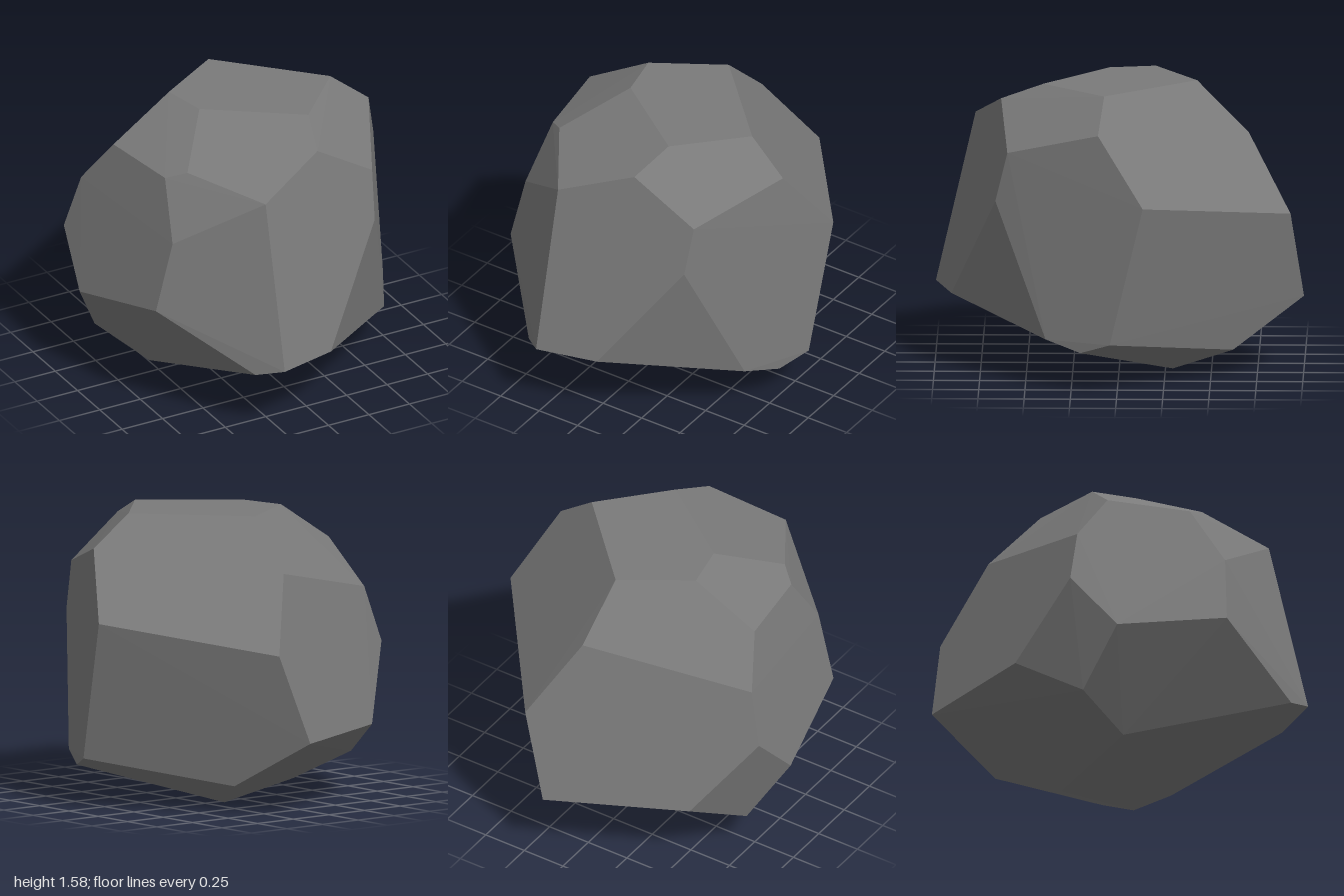
import * as THREE from 'three';
import { ConvexGeometry } from 'three/addons/geometries/ConvexGeometry.js';

// Corners of the boulder, grouped from top to bottom
const crown = [
  [-0.33, 1.575, -0.19], [0.04, 1.57, -0.42], [0.52, 1.575, 0.075], [0.2, 1.58, 0.41], [-0.28, 1.575, 0.06],
];
const shoulder = [
  [0.13, 1.485, 0.64], [0.74, 1.4, 0.105], [0.49, 1.255, 0.6], [-0.27, 1.33, 0.785], [-0.53, 1.4, 0.38],
  [-0.625, 1.355, 0.3], [-0.69, 1.36, -0.16], [-0.79, 1.1, -0.34], [0.07, 1.29, -0.7],
];
const belly = [
  [0.47, 0.985, 0.665], [0.905, 1.03, -0.14], [0.29, 0.885, -0.93], [-0.87, 0.8, -0.39],
  [-0.68, 1.05, 0.485], [-0.78, 0.66, 0.48], [-0.91, 0.52, -0.14],
];
const foot = [
  [0.865, 0.27, 0.04], [0.78, 0.21, 0.2], [0.68, 0.265, 0.39], [0.065, 0.395, 0.91], [-0.27, 0.4, 1],
  [-0.39, 0.36, 0.89], [-0.59, 0.4, -0.65], [0.13, 0.4, -1], [0.35, 0.145, -0.62], [-0.73, 0.2, -0.3],
];
const base = [[-0.53, 0.04, -0.05], [0.15, 0, -0.29]];

export function createModel() {
  const group = new THREE.Group();
  group.name = 'rock';

  const stone = new THREE.MeshStandardMaterial({ color: 0x7a7a7a });
  stone.name = 'grey stone';
  stone.flatShading = true;

  // Single faceted boulder wrapped around the corners
  const points = [...crown, ...shoulder, ...belly, ...foot, ...base].map((p) => new THREE.Vector3(...p));
  const boulder = new THREE.Mesh(new ConvexGeometry(points), stone);
  boulder.name = 'boulder';
  group.add(boulder);
  return group;
}
